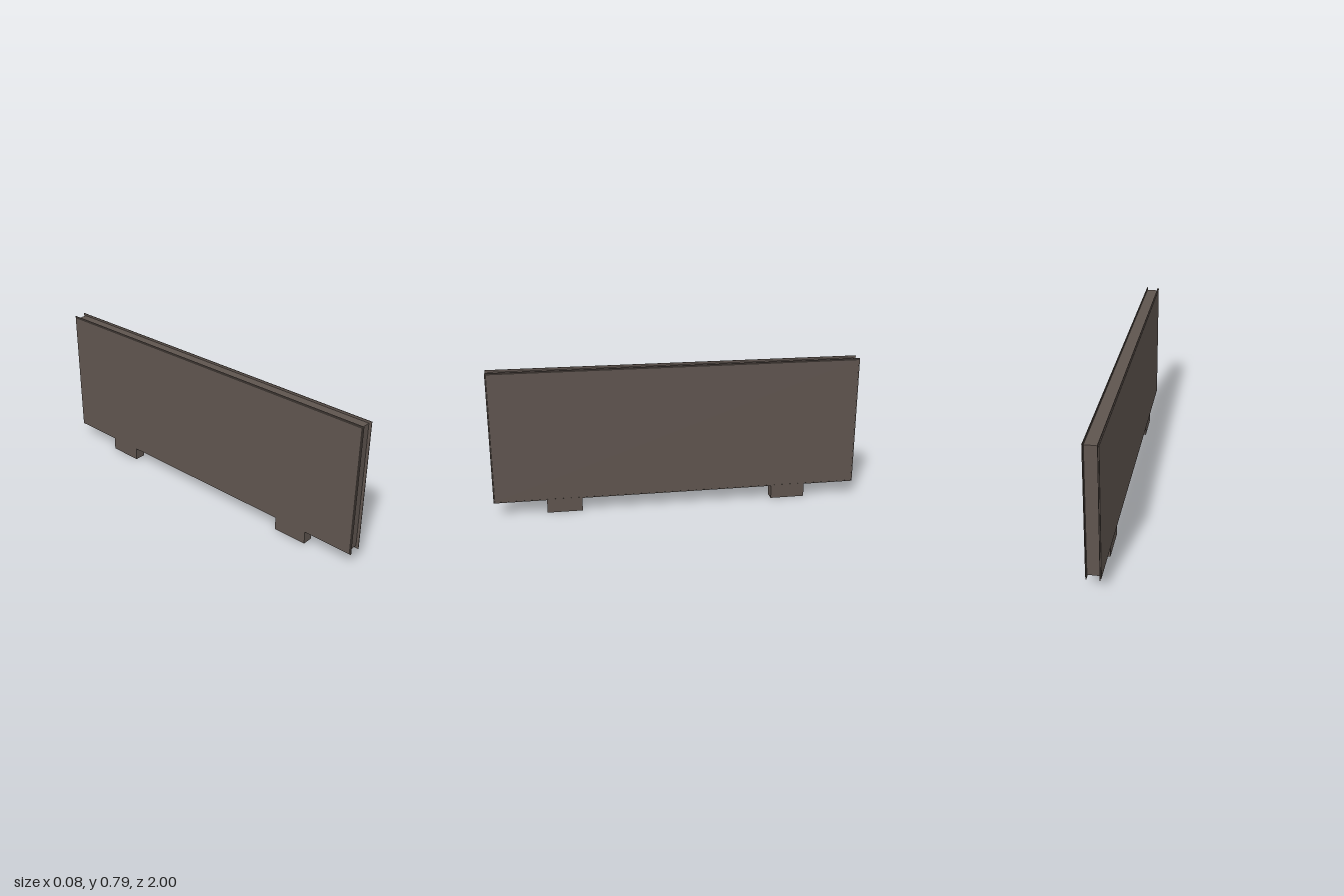
import * as THREE from 'three';

export function createModel() {
  const model = new THREE.Group();
  const brown = new THREE.MeshStandardMaterial({ color: 0x5f554f });
  brown.name = 'dark taupe';

  const add = (name, geometry, x, y, z) => {
    const mesh = new THREE.Mesh(geometry, brown);
    mesh.name = name;
    mesh.position.set(x, y, z);
    model.add(mesh);
    return mesh;
  };
  const box = (name, w, h, d, x, y, z) => add(name, new THREE.BoxGeometry(w, h, d), x, y, z);

  // Recessed core between the two face panels
  box('core', 0.064, 0.688, 1.97, 0, 0.434, 0);

  for (const side of [1, -1]) {
    const label = side > 0 ? 'left' : 'right';

    // Thin backing sheet, slightly larger than the outer face
    box(label + 'PanelBacking', 0.003, 0.715, 2, side * 0.0325, 0.4325, 0);

    // Outer face with slightly chamfered edges
    const face = new THREE.BoxGeometry(0.004, 0.705, 1.99);
    const p = face.attributes.position;
    for (let i = 0; i < p.count; i++) {
      if (p.getX(i) * side > 0) {
        p.setY(i, p.getY(i) - Math.sign(p.getY(i)) * 0.002);
        p.setZ(i, p.getZ(i) - Math.sign(p.getZ(i)) * 0.002);
      }
    }
    face.computeVertexNormals();
    add(label + 'Panel', face, side * 0.036, 0.4325, 0);
  }

  // Short block feet near each end
  for (const end of [1, -1]) {
    box(end > 0 ? 'frontFoot' : 'backFoot', 0.06, 0.1, 0.19, 0, 0.05, end * 0.623);
  }

  return model;
}
